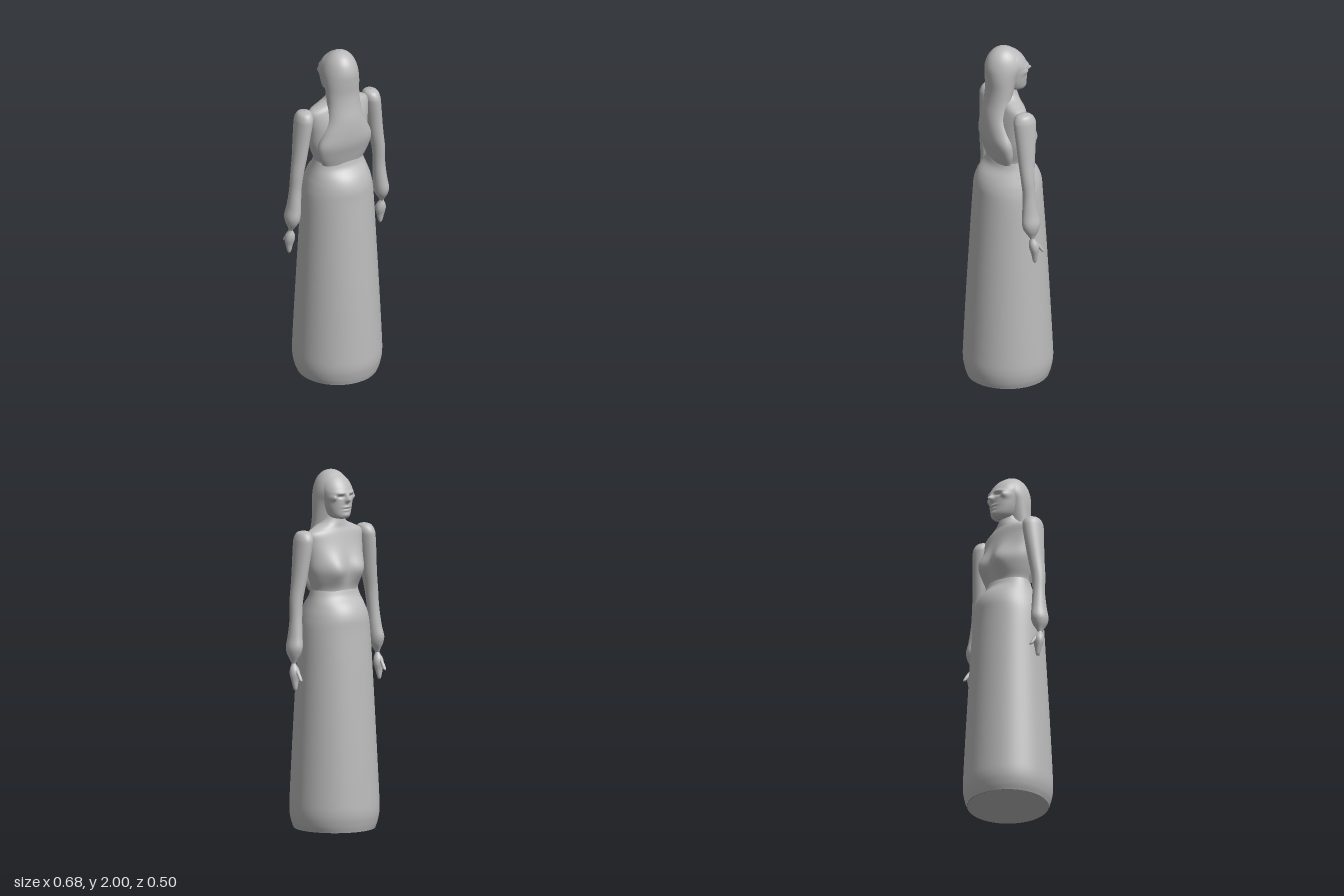
import * as THREE from 'three';

// Smooth loft through rows of [y, centreX, halfWidth, zFront, zBack] (front is -z).
// Bumps [x, y, widthX, widthY, amount] push the front half outwards, mirrored in x.
function loft(rows, { seg = 40, steps = 5, bumps = [] } = {}) {
  const spline = new THREE.CubicInterpolant(rows.map((_, i) => i), rows.flat(), 5, new Float32Array(5));
  const rings = (rows.length - 1) * steps;
  const pos = [], index = [];
  for (let i = 0; i <= rings; i++) {
    const [y, cx, rx, zf, zb] = spline.evaluate(i / steps);
    const cz = (zf + zb) / 2, rz = (zb - zf) / 2;
    for (let j = 0; j < seg; j++) {
      const a = (j / seg) * Math.PI * 2;
      const x = cx + rx * Math.sin(a);
      let z = cz + rz * Math.cos(a);
      const front = Math.max(0, -Math.cos(a));
      for (const [bx, by, sx, sy, amount] of bumps) {
        const dx = (Math.abs(x) - bx) / sx, dy = (y - by) / sy;
        z -= amount * Math.sqrt(front) * Math.exp(-dx * dx - dy * dy);
      }
      pos.push(x, y, z);
      if (i < rings) {
        const k = (j + 1) % seg, p = i * seg, q = p + seg;
        index.push(p + j, p + k, q + k, p + j, q + k, q + j);
      }
    }
  }
  const g = new THREE.BufferGeometry();
  g.setAttribute('position', new THREE.Float32BufferAttribute(pos, 3));
  g.setIndex(index);
  g.computeVertexNormals();
  return g;
}

export function createModel() {
  const model = new THREE.Group();
  model.name = 'standingWoman';
  const stone = new THREE.MeshStandardMaterial({ color: 0xbbbbbb });
  stone.name = 'grey stone';
  const add = (name, geometry, parent = model) => {
    const mesh = new THREE.Mesh(geometry, stone);
    mesh.name = name;
    parent.add(mesh);
    return mesh;
  };

  // Long skirt, narrowing to the waist
  add('skirt', loft([
    [0, 0, 0.225, -0.228, 0.228],
    [0.04, 0, 0.24, -0.24, 0.24],
    [0.1, 0, 0.249, -0.25, 0.25],
    [0.2, 0, 0.247, -0.247, 0.247],
    [0.5, 0, 0.233, -0.231, 0.232],
    [0.85, 0, 0.216, -0.21, 0.211],
    [1.1, 0, 0.203, -0.192, 0.195],
    [1.19, 0, 0.189, -0.186, 0.189],
    [1.25, 0, 0.171, -0.162, 0.166],
    [1.3, 0, 0.155, -0.12, 0.124],
    [1.34, 0, 0.145, -0.104, 0.11],
  ], { seg: 56 }));
  const base = add('skirtBase', new THREE.CircleGeometry(0.226, 56));
  base.rotation.x = Math.PI / 2;

  // Torso with bust, shoulders and neck
  add('torso', loft([
    [1.3, 0, 0.15, -0.11, 0.115],
    [1.34, 0, 0.145, -0.102, 0.108],
    [1.4, 0, 0.165, -0.112, 0.115],
    [1.46, 0, 0.181, -0.118, 0.118],
    [1.53, 0, 0.186, -0.105, 0.115],
    [1.6, 0, 0.192, -0.085, 0.1],
    [1.655, 0, 0.19, -0.068, 0.08],
    [1.685, 0, 0.135, -0.056, 0.075],
    [1.71, 0, 0.083, -0.052, 0.08],
    [1.75, 0, 0.062, -0.045, 0.08],
    [1.8, 0, 0.06, -0.045, 0.08],
  ], { seg: 72, bumps: [[0.085, 1.455, 0.06, 0.075, 0.038]] }));

  // Long hair, from the crown down the back
  add('hair', loft([
    [1.33, 0, 0.135, 0, 0.108],
    [1.39, 0, 0.163, 0, 0.125],
    [1.46, 0, 0.172, 0, 0.145],
    [1.53, 0, 0.145, 0, 0.151],
    [1.61, 0, 0.112, 0, 0.147],
    [1.69, 0, 0.1, -0.01, 0.133],
    [1.76, 0, 0.1, -0.025, 0.127],
    [1.83, 0, 0.102, -0.048, 0.132],
    [1.89, 0, 0.099, -0.088, 0.134],
    [1.94, 0, 0.083, -0.072, 0.119],
    [1.975, 0, 0.058, -0.036, 0.092],
    [1.994, 0, 0.03, -0.002, 0.06],
    [2.0, 0, 0.001, 0.029, 0.031],
  ], { seg: 56 }));

  // Head with face modelled by bumps
  add('head', loft([
    [1.732, 0, 0.004, -0.066, -0.058],
    [1.738, 0, 0.04, -0.094, 0],
    [1.755, 0, 0.06, -0.104, 0.03],
    [1.79, 0, 0.075, -0.106, 0.05],
    [1.83, 0, 0.084, -0.108, 0.06],
    [1.87, 0, 0.09, -0.108, 0.07],
    [1.905, 0, 0.09, -0.1, 0.08],
    [1.945, 0, 0.075, -0.073, 0.08],
    [1.975, 0, 0.045, -0.035, 0.07],
    [1.985, 0, 0.002, 0.02, 0.024],
  ], {
    seg: 112, steps: 8, bumps: [
      [0, 1.842, 0.012, 0.013, 0.03],     // nose tip
      [0, 1.862, 0.01, 0.018, 0.013],     // nose bridge
      [0.045, 1.882, 0.032, 0.01, 0.012], // brow
      [0.036, 1.862, 0.016, 0.008, -0.012], // eye sockets
      [0.075, 1.855, 0.014, 0.017, 0.025], // outer cheekbones
      [0, 1.802, 0.024, 0.006, 0.008],    // upper lip
      [0, 1.793, 0.026, 0.003, -0.007],   // mouth line
      [0, 1.785, 0.02, 0.006, 0.006],     // lower lip
      [0, 1.757, 0.022, 0.012, 0.006],    // chin
    ],
  }));

  // Arms, sleeves and hands
  for (const s of [1, -1]) {
    const arm = new THREE.Group();
    arm.name = s > 0 ? 'leftArm' : 'rightArm';
    model.add(arm);
    const limb = (rows, options) => loft(rows.map(([y, x, ...rest]) => [y, s * x, ...rest]), options);

    add('sleeve', limb([
      [0.945, 0.305, 0.01, -0.02, 0.002],
      [0.965, 0.303, 0.018, -0.03, 0.015],
      [1.0, 0.299, 0.036, -0.048, 0.038],
      [1.04, 0.297, 0.042, -0.058, 0.048],
      [1.1, 0.289, 0.038, -0.048, 0.043],
      [1.2, 0.281, 0.034, -0.036, 0.036],
      [1.3, 0.273, 0.037, -0.034, 0.044],
      [1.4, 0.256, 0.041, -0.043, 0.051],
      [1.5, 0.243, 0.044, -0.054, 0.058],
      [1.6, 0.23, 0.047, -0.063, 0.066],
      [1.64, 0.225, 0.046, -0.06, 0.064],
      [1.67, 0.222, 0.034, -0.038, 0.045],
      [1.682, 0.22, 0.002, 0.001, 0.005],
    ], { seg: 32 }), arm);

    add('hand', limb([
      [0.797, 0.306, 0.003, -0.03, -0.02],
      [0.81, 0.306, 0.011, -0.036, -0.012],
      [0.85, 0.306, 0.022, -0.04, -0.004],
      [0.885, 0.305, 0.03, -0.046, 0.007],
      [0.915, 0.305, 0.026, -0.042, 0.01],
      [0.945, 0.305, 0.012, -0.022, 0.004],
      [0.965, 0.304, 0.011, -0.02, 0.004],
    ], { seg: 24 }), arm);

    add('thumb', limb([
      [0.853, 0.305, 0.002, -0.077, -0.073],
      [0.86, 0.305, 0.009, -0.079, -0.062],
      [0.885, 0.305, 0.011, -0.066, -0.042],
      [0.915, 0.305, 0.01, -0.046, -0.02],
    ], { seg: 16 }), arm);
  }
  return model;
}
